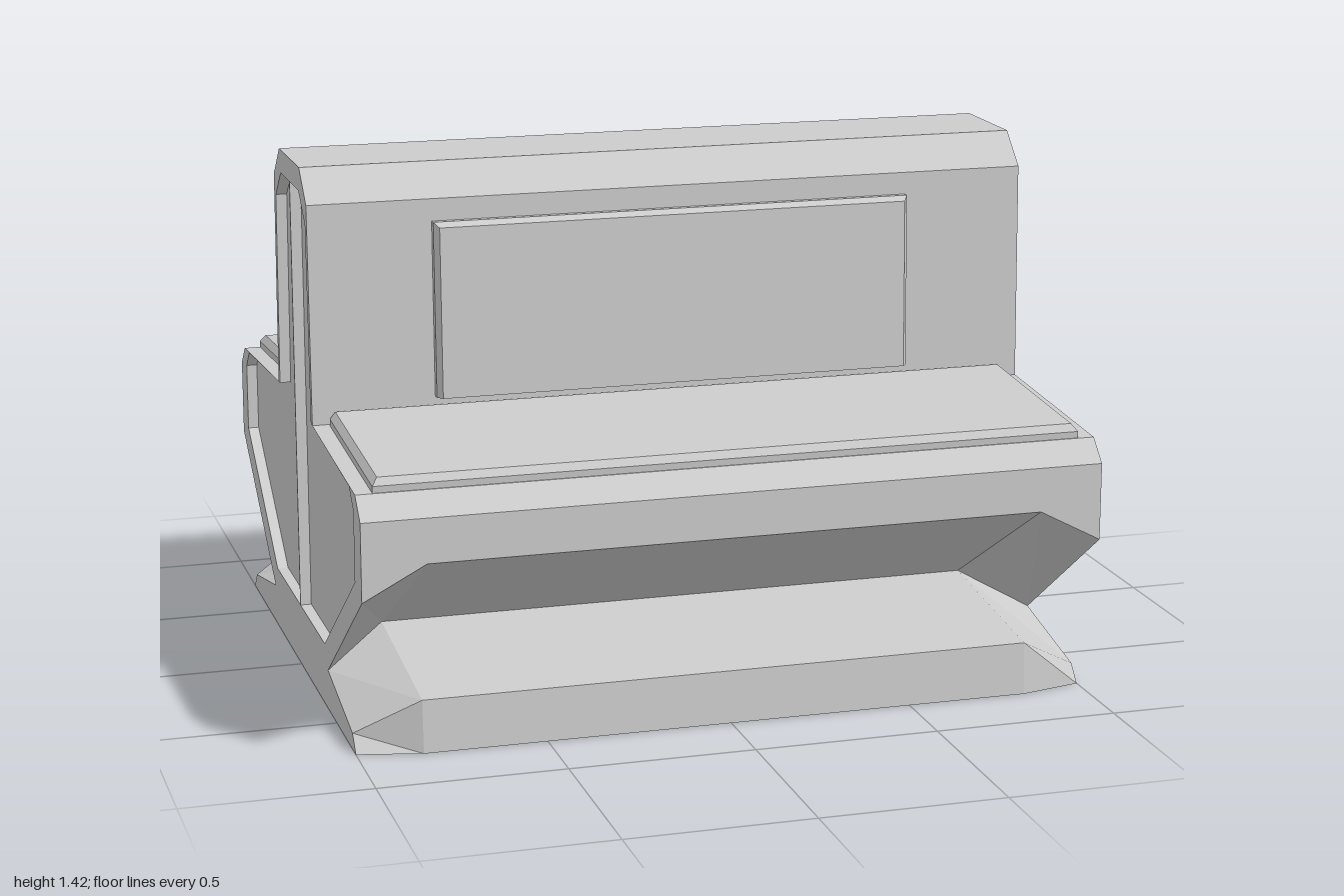
import * as THREE from 'three';

const material = new THREE.MeshStandardMaterial({ color: 0xcccccc, flatShading: true });
const thin = new THREE.MeshStandardMaterial({ color: 0xcccccc, flatShading: true, side: THREE.DoubleSide });

function mesh(name, geometry, mat = material) {
  const m = new THREE.Mesh(geometry, mat);
  m.name = name;
  return m;
}

// Skin between equal-length rings of Vector3, counter-clockwise about the loft direction
function loft(rings, capped = false) {
  const tris = [];
  const n = rings[0].length;
  for (let i = 0; i < rings.length - 1; i++) {
    for (let j = 0; j < n; j++) {
      const k = (j + 1) % n;
      const a = rings[i][j], b = rings[i][k], c = rings[i + 1][k], d = rings[i + 1][j];
      tris.push(a, b, c, a, c, d);
    }
  }
  if (capped) {
    const lo = rings[0], hi = rings[rings.length - 1];
    for (let j = 1; j < n - 1; j++) tris.push(hi[0], hi[j], hi[j + 1], lo[0], lo[j + 1], lo[j]);
  }
  const g = new THREE.BufferGeometry().setFromPoints(tris);
  g.computeVertexNormals();
  return g;
}

const atX = (x, outline) => outline.map(([z, y]) => new THREE.Vector3(x, y, z));
const mirrorZ = (half) => [...half, ...half.map(([z, y]) => [-z, y]).reverse()];

// Half profiles as [z, y]: shared upper part, then the underside and foot
const upper = [[0.145, 1.425], [0.235, 1.34], [0.25, 0.748], [0.81, 0.712], [0.87, 0.655]];
const middleProfile = mirrorZ([...upper, [0.87, 0.535], [0.28, 0.196], [0.78, 0.142], [0.79, 0]]);
const endProfile = mirrorZ([...upper, [0.87, 0.445], [0.39, 0.11], [0.71, 0.045], [0.75, 0]]);

// Half outline of the recess in each end
const recessHalf = [
  [0.003, 1.36], [0.13, 1.36], [0.212, 1.285], [0.228, 0.749], [0.735, 0.715],
  [0.785, 0.665], [0.785, 0.475], [0.35, 0.172], [0.003, 0.172],
];

const toShape = (outline) => new THREE.Shape(outline.map(([z, y]) => new THREE.Vector2(z, y)));

// End face at +x with two recessed panels separated by a thin rib
function endPanel(name) {
  const group = new THREE.Group();
  group.name = name;
  const depth = 0.03;
  const halves = [recessHalf, recessHalf.map(([z, y]) => [-z, y])];
  const rim = toShape(endProfile);
  halves.forEach((h) => rim.holes.push(toShape(h)));
  group.add(mesh('endRim', new THREE.ShapeGeometry(rim).rotateY(Math.PI / 2).translate(1, 0, 0)));
  halves.forEach((h) => {
    group.add(mesh('recessWall', loft([atX(1 - depth, h), atX(1, h)]), thin));
    const floor = new THREE.ShapeGeometry(toShape(h.map(([z, y]) => [-z, y])));
    group.add(mesh('recessPanel', floor.rotateY(Math.PI / 2).translate(1 - depth, 0, 0)));
  });
  return group;
}

// Flat pad chamfered on three sides; origin is its straight edge, "along" runs to the far edge
function pad(name, halfWidth, length, height, bevel, origin, along, normal) {
  const ring = (inset, h) => [
    [-halfWidth + inset, 0], [halfWidth - inset, 0],
    [halfWidth - inset, length - inset], [-halfWidth + inset, length - inset],
  ].map(([x, y]) => new THREE.Vector3(x, y, h));
  const g = loft([ring(0, 0), ring(0, height * 0.55), ring(bevel, height)], true);
  const dir = along.clone().normalize();
  const side = dir.clone().cross(normal).normalize();
  const n = side.clone().cross(dir);
  g.applyMatrix4(new THREE.Matrix4().makeBasis(side, dir, n).setPosition(origin));
  return mesh(name, g);
}

export function createModel() {
  const model = new THREE.Group();
  model.name = 'doubleSidedBench';

  // Continuous body, with the underside cut dropping toward both ends
  model.add(mesh('benchBody', loft([
    atX(-1, endProfile), atX(-0.83, middleProfile), atX(0.83, middleProfile), atX(1, endProfile),
  ])));

  // Ends
  const leftEnd = endPanel('leftEnd');
  const rightEnd = endPanel('rightEnd');
  rightEnd.rotation.y = Math.PI;
  model.add(leftEnd, rightEnd);

  // Seat and back cushions on both sides
  const V = (x, y, z) => new THREE.Vector3(x, y, z);
  ['front', 'rear'].forEach((label, i) => {
    const side = new THREE.Group();
    side.name = label + 'Cushions';
    side.add(pad('seatCushion', 0.955, 0.548, 0.042, 0.015, V(0, 0.743, 0.26), V(0, -0.036, 0.55), V(0, 1, 0)));
    side.add(pad('backCushion', 0.665, 0.475, 0.042, 0.013, V(0, 0.805, 0.247), V(0, 0.475, -0.014), V(0, 0, 1)));
    side.rotation.y = i * Math.PI;
    model.add(side);
  });
  return model;
}
